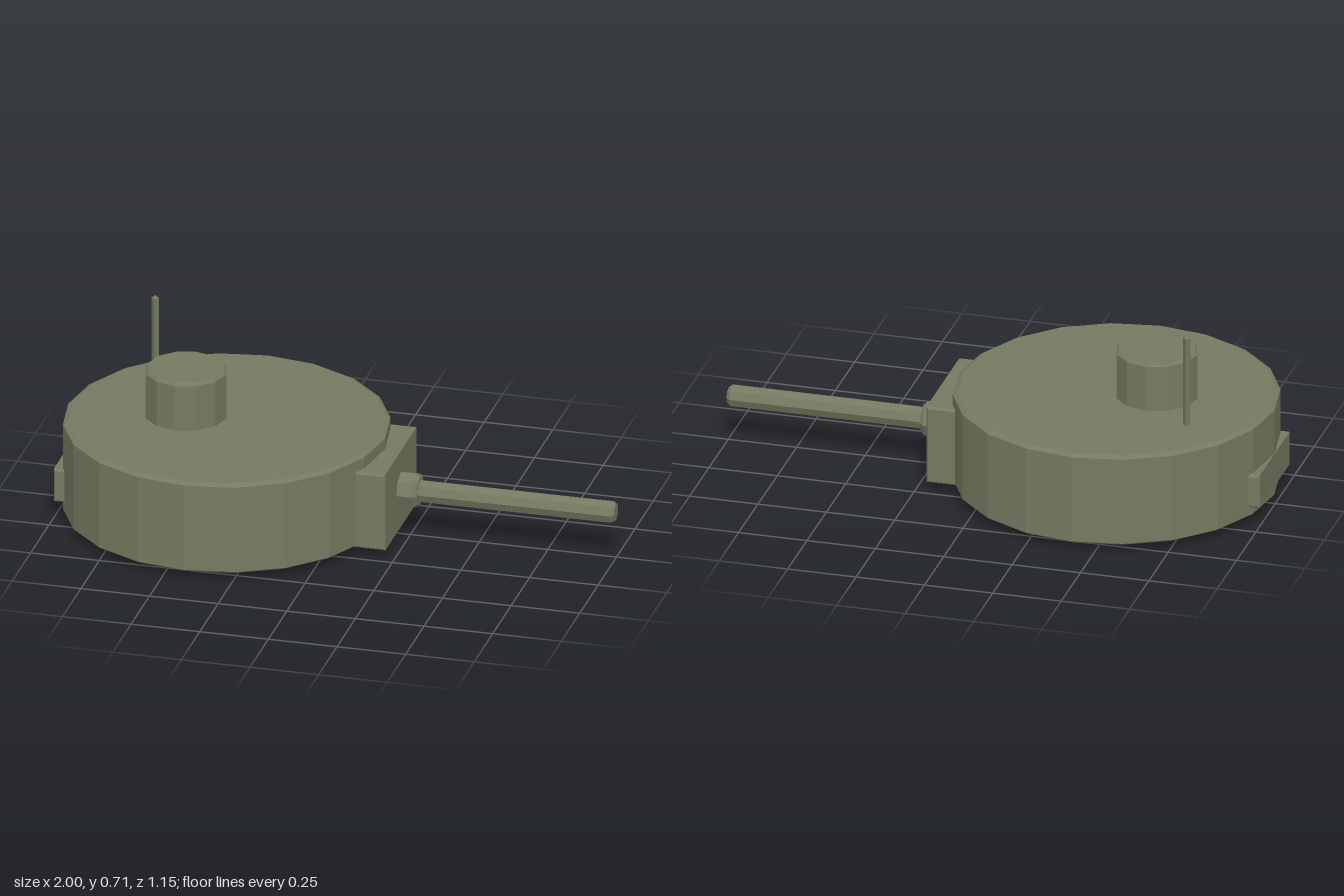
import * as THREE from 'three';

const material = new THREE.MeshStandardMaterial({ color: 0x757b61, flatShading: true });

// Faceted solid of revolution; profile is [radius, height] from bottom to top
function turned(name, profile, sides) {
  const points = profile.map(([r, y]) => new THREE.Vector2(r, y));
  const mesh = new THREE.Mesh(new THREE.LatheGeometry(points, sides), material);
  mesh.name = name;
  return mesh;
}

// Box plate with chamfered edges, given its size and centre
function plate(name, [w, h, d], [x, y, z], bevel) {
  const a = w / 2 - bevel, b = h / 2 - bevel;
  const shape = new THREE.Shape([
    new THREE.Vector2(-a, -b), new THREE.Vector2(a, -b),
    new THREE.Vector2(a, b), new THREE.Vector2(-a, b),
  ]);
  const geometry = new THREE.ExtrudeGeometry(shape, {
    depth: d - 2 * bevel, bevelEnabled: true, bevelSegments: 1,
    bevelSize: bevel, bevelThickness: bevel,
  });
  geometry.center();
  const mesh = new THREE.Mesh(geometry, material);
  mesh.name = name;
  mesh.position.set(x, y, z);
  return mesh;
}

export function createModel() {
  const model = new THREE.Group();
  model.name = 'gunTurret';

  // Drum-shaped body with narrow chamfers
  const body = turned('turretBody', [
    [0, 0.024], [0.56, 0.024], [0.577, 0.035], [0.577, 0.36], [0.56, 0.37], [0, 0.37],
  ], 20);
  body.position.x = -0.42;

  // Shallow turret ring underneath
  const ring = turned('turretRing', [[0, 0], [0.37, 0], [0.404, 0.014], [0.404, 0.03], [0, 0.03]], 16);
  ring.position.x = -0.365;

  // Commander's hatch housing on the roof
  const cupola = turned('cupola', [[0, 0.36], [0.147, 0.36], [0.147, 0.54], [0.138, 0.55], [0, 0.55]], 12);
  cupola.position.x = -0.568;

  // Thin rod aerial with a pointed tip
  const antenna = turned('antenna', [[0, 0.36], [0.018, 0.36], [0.018, 0.704], [0, 0.715]], 4);
  antenna.position.set(-0.738, 0, -0.217);
  antenna.scale.x = 0.75;

  // Gun mount in front and stowage box behind
  const mantlet = plate('mantlet', [0.215, 0.292, 0.438], [0.1075, 0.172, 0], 0.007);
  const rearBox = plate('rearBox', [0.12, 0.125, 0.4], [-0.938, 0.13, 0], 0.007);

  // Gun pointing along +x: collar and barrel
  const gun = new THREE.Group();
  gun.name = 'gun';
  gun.position.set(0.2, 0.172, 0);
  gun.rotation.z = -Math.PI / 2;
  gun.add(
    turned('barrelCollar', [[0, 0], [0.065, 0], [0.065, 0.07], [0.053, 0.085], [0, 0.085]], 8),
    turned('barrel', [[0, 0.07], [0.041, 0.07], [0.041, 0.785], [0.031, 0.798], [0, 0.798]], 8),
  );

  model.add(body, ring, cupola, antenna, mantlet, rearBox, gun);
  return model;
}
